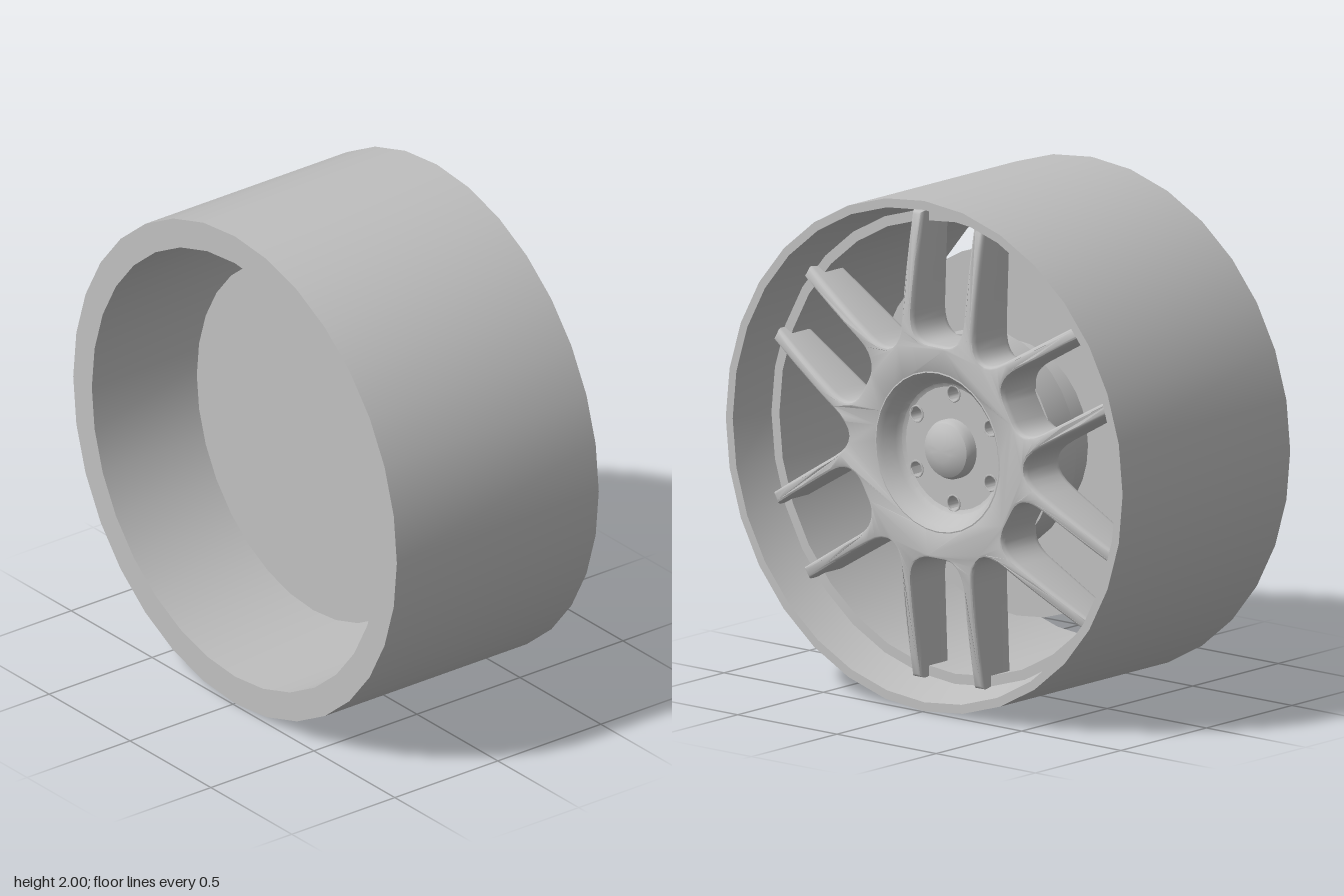
import * as THREE from 'three';
import { toCreasedNormals } from 'three/addons/utils/BufferGeometryUtils.js';

const SIDES = 32;

export function createModel() {
  const model = new THREE.Group();
  model.name = 'wheel';
  const metal = new THREE.MeshStandardMaterial({ color: 0xbfbfbf });
  metal.name = 'silver grey';

  function add(name, geometry, crease = 0.5) {
    const mesh = new THREE.Mesh(toCreasedNormals(geometry, crease), metal);
    mesh.name = name;
    mesh.position.y = 1;
    model.add(mesh);
  }

  // Turned part about the x axis; profile points are [radius, x]
  function turned(name, profile) {
    const points = profile.map(([r, x]) => new THREE.Vector2(r, x));
    const geometry = new THREE.LatheGeometry(points, SIDES);
    geometry.rotateZ(-Math.PI / 2);
    add(name, geometry);
  }

  // Rim barrel with a sloped front lip and a ledge for the spokes
  turned('rim', [
    [0.885, -0.49], [1, -0.49], [1, 0.49], [0.965, 0.49],
    [0.925, 0.31], [0.885, 0.31], [0.885, -0.49],
  ]);

  // Brake disc and the hub body in front of it
  turned('brakeDisc', [[0, -0.11], [0.72, -0.11], [0.72, -0.05], [0, -0.05]]);
  turned('hubBody', [
    [0, -0.06], [0.36, -0.06], [0.36, 0.1], [0.43, 0.1], [0.43, 0.23], [0, 0.23],
  ]);

  // Spoke face outline: six pairs of parallel spokes around the hub
  const outline = [];
  const INNER = 0.13, OUTER = 0.182, TIP = 0.915;
  const valley = OUTER / Math.tan(Math.PI / 6);
  for (let k = 0; k < 6; k++) {
    const angle = Math.PI / 2 + (k * Math.PI) / 3;
    const centre = new THREE.Vector2();
    const at = (u, v) => new THREE.Vector2(u, v).rotateAround(centre, angle);
    const line = (v, from, to) => {
      for (let i = 0; i <= 4; i++) outline.push(at(from + ((to - from) * i) / 4, v));
    };
    const bend = (a, b, c) => {
      const points = new THREE.QuadraticBezierCurve(at(...a), at(...b), at(...c)).getPoints(8);
      outline.push(...points.slice(1, -1));
    };
    line(-OUTER, 0.5, TIP);
    line(-INNER, TIP, 0.54);
    bend([0.54, -INNER], [0.425, -INNER], [0.42, -0.04]);
    outline.push(at(0.42, -0.04), at(0.42, 0.04));
    bend([0.42, 0.04], [0.425, INNER], [0.54, INNER]);
    line(INNER, 0.54, TIP);
    line(OUTER, TIP, 0.5);
    // Rounded valley to the next pair
    const next = new THREE.Vector2(0.5, -OUTER).rotateAround(centre, Math.PI / 3);
    bend([0.5, OUTER], [valley, OUTER], [next.x, next.y]);
  }
  const face = new THREE.Shape(outline);
  face.holes.push(new THREE.Path().absarc(0, 0, 0.3, 0, Math.PI * 2, true));
  const spokes = new THREE.ExtrudeGeometry(face, {
    depth: 0.76, bevelThickness: 0.12, bevelSize: 0.014, bevelOffset: -0.014,
    bevelSegments: 3, curveSegments: 16,
  });

  // Bow the face: highest around the hub, falling toward the rim
  const position = spokes.attributes.position;
  for (let i = 0; i < position.count; i++) {
    const r = Math.hypot(position.getX(i), position.getY(i));
    const t = position.getZ(i) + 0.12;
    const out = Math.max(0, (r - 0.45) / 0.47);
    const front = r < 0.45 ? 0.41 + 0.015 * Math.max(0, (r - 0.31) / 0.14) : 0.425 - 0.07 * out ** 1.4;
    const back = 0.21 - 0.02 * out;
    position.setZ(i, back + t * (front - back));
  }
  spokes.rotateY(Math.PI / 2);
  add('spokes', spokes, 0.6);

  // Sloping wall of the dish in the hub centre
  turned('hubDish', [
    [0.24, 0.22], [0.335, 0.22], [0.335, 0.405], [0.31, 0.412],
    [0.292, 0.395], [0.27, 0.345], [0.255, 0.325], [0.24, 0.318], [0.24, 0.22],
  ]);

  // Dish floor with six bolt holes
  const floor = new THREE.Shape().absarc(0, 0, 0.245, 0, Math.PI * 2, false);
  for (let k = 0; k < 6; k++) {
    const a = Math.PI / 2 + (k * Math.PI) / 3;
    floor.holes.push(new THREE.Path().absarc(
      0.215 * Math.cos(a), 0.215 * Math.sin(a), 0.032 - 0.004, 0, Math.PI * 2, true));
  }
  const plate = new THREE.ExtrudeGeometry(floor, { depth: 0.098, bevelEnabled: false, curveSegments: 16 });
  plate.translate(0, 0, 0.22);
  plate.rotateY(Math.PI / 2);
  add('boltPlate', plate);

  // Raised rims of the bolt holes
  for (let k = 0; k < 6; k++) {
    const a = Math.PI / 2 + (k * Math.PI) / 3;
    const ring = new THREE.TorusGeometry(0.031, 0.004, 6, 20);
    ring.translate(0.215 * Math.cos(a), 0.215 * Math.sin(a), 0.318);
    ring.rotateY(Math.PI / 2);
    add('boltHoleRim', ring, 1.2);
  }

  // Domed centre cap
  turned('centreCap', [
    [0, 0.25], [0.116, 0.25], [0.116, 0.345], [0.106, 0.365],
    [0.08, 0.382], [0.045, 0.393], [0, 0.397],
  ]);

  return model;
}
